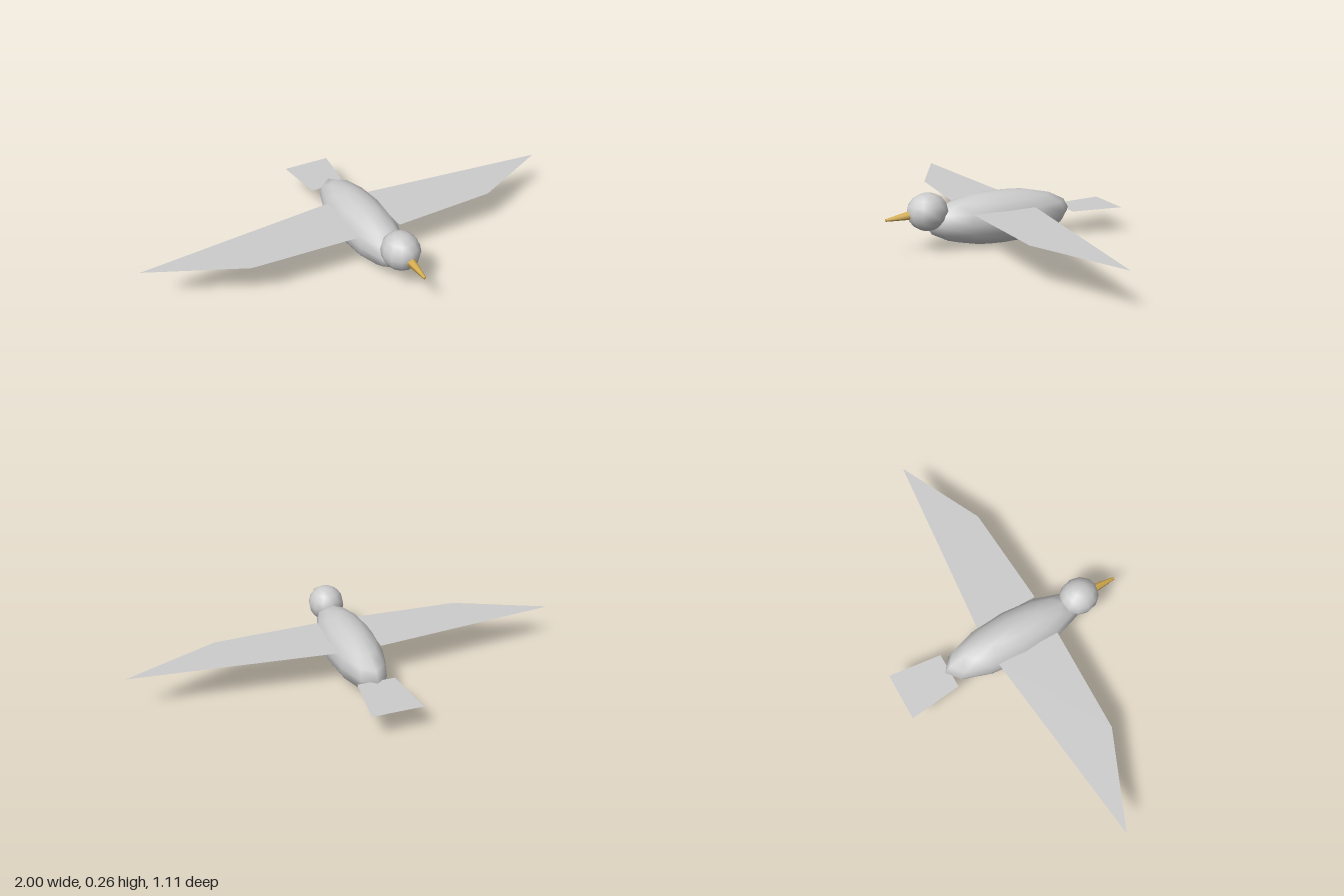
import * as THREE from 'three';

export function createModel() {
  const bird = new THREE.Group();
  bird.name = 'bird';

  const plumage = new THREE.MeshStandardMaterial({ color: 0xcccccc });
  plumage.name = 'grey plumage';
  const feather = new THREE.MeshStandardMaterial({ color: 0xcccccc, side: THREE.DoubleSide });
  feather.name = 'grey flight feathers';
  const horn = new THREE.MeshStandardMaterial({ color: 0xd9b050 });
  horn.name = 'golden beak';

  function add(name, geometry, material, x, y, z) {
    const mesh = new THREE.Mesh(geometry, material);
    mesh.name = name;
    mesh.position.set(x, y, z);
    bird.add(mesh);
    return mesh;
  }

  // Flat horizontal sheet from [x, z] outline points, facing up
  function sheet(points) {
    const shape = new THREE.Shape(points.map(([x, z]) => new THREE.Vector2(x, -z)));
    return new THREE.ShapeGeometry(shape).rotateX(-Math.PI / 2);
  }

  // Body and head
  const ellipsoid = (rx, ry, rz, sides, rings) =>
    new THREE.SphereGeometry(1, sides, rings).scale(rx, ry, rz);
  add('body', ellipsoid(0.118, 0.121, 0.355, 12, 8), plumage, 0, 0.123, 0.02);
  add('head', ellipsoid(0.084, 0.084, 0.093, 12, 8), plumage, 0, 0.182, 0.364);

  // Beak, tapering forward and dipping slightly
  const beak = add('beak', new THREE.CylinderGeometry(0.006, 0.023, 0.13, 6), horn, 0, 0.171, 0.49);
  beak.rotation.x = Math.PI / 2 + 0.09;

  // Wings, mirrored
  for (const side of [1, -1]) {
    const outline = [[0.1, 0.19], [0.59, 0.168], [1, -0.02], [0.1, -0.112]];
    add(side > 0 ? 'leftWing' : 'rightWing',
      sheet(outline.map(([x, z]) => [x * side, z])), feather, 0, 0.172, 0);
  }

  // Tail fan
  add('tail', sheet([[-0.085, -0.312], [0.085, -0.312], [0.113, -0.557], [-0.113, -0.557]]),
    feather, 0, 0.125, 0);

  return bird;
}
